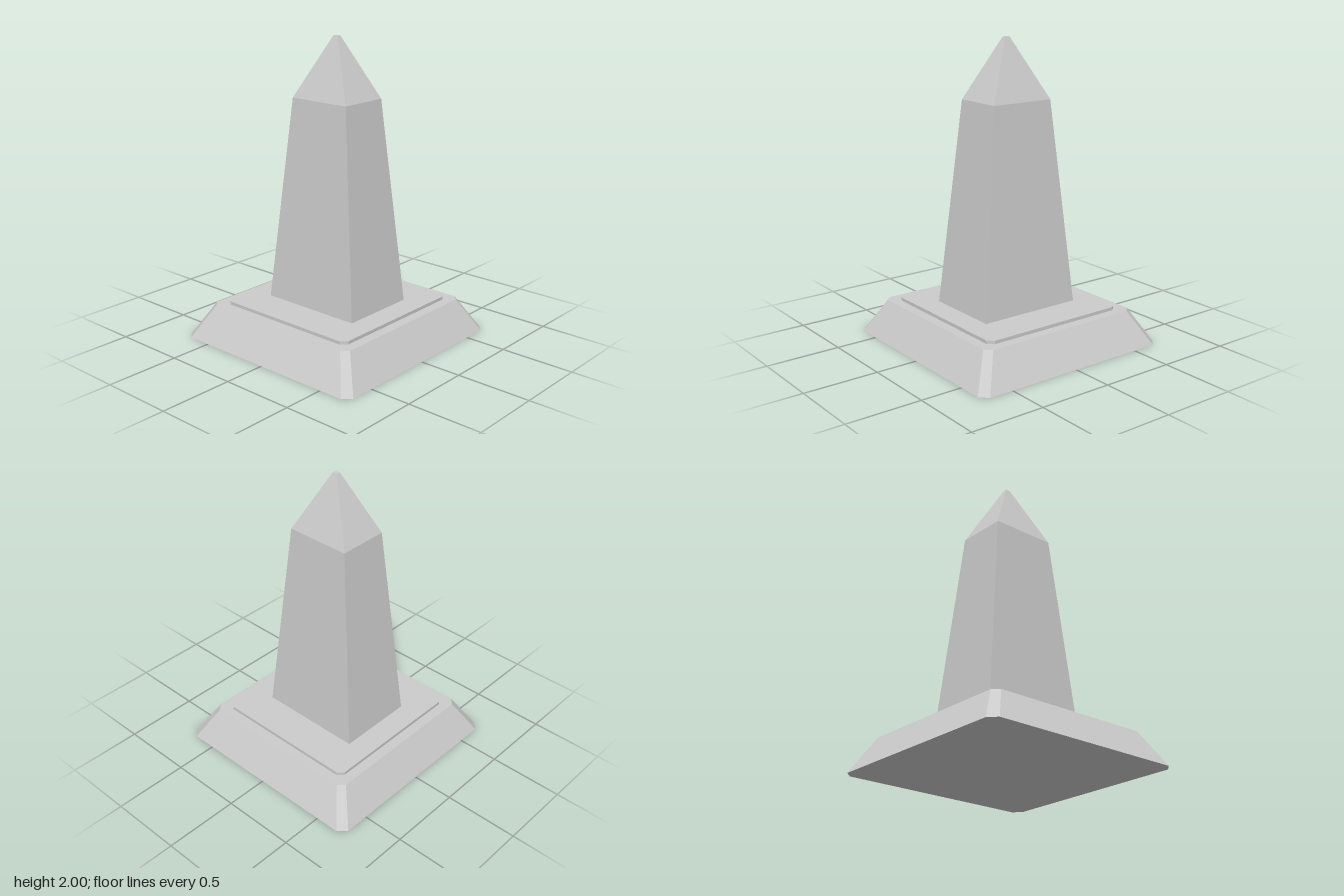
import * as THREE from 'three';

const material = new THREE.MeshStandardMaterial({ color: 0xcccccc, flatShading: true });

// Rectangle with half sizes a (x) and b (z), corners cut by c, counter-clockwise from above
function ring(y, a, b, c = 0) {
  const corners = [[1, 1], [-1, 1], [-1, -1], [1, -1]];
  return corners.flatMap(([sx, sz], i) => {
    if (c === 0) return [[sx * a, y, -sz * b]];
    const pair = [[sx * a, y, -sz * (b - c)], [sx * (a - c), y, -sz * b]];
    return i % 2 ? pair.reverse() : pair;
  });
}

// Closed solid through a stack of rings, from bottom to top
function loft(name, rings) {
  const pos = [];
  const tri = (...pts) => pts.forEach((p) => pos.push(...p));
  const n = rings[0].length;
  for (let r = 0; r < rings.length - 1; r++) {
    const lo = rings[r], hi = rings[r + 1];
    for (let i = 0; i < n; i++) {
      const j = (i + 1) % n;
      tri(lo[i], lo[j], hi[j]);
      tri(lo[i], hi[j], hi[i]);
    }
  }
  const bottom = rings[0], top = rings[rings.length - 1];
  for (let i = 1; i < n - 1; i++) {
    tri(bottom[0], bottom[i + 1], bottom[i]);
    tri(top[0], top[i], top[i + 1]);
  }
  const geometry = new THREE.BufferGeometry();
  geometry.setAttribute('position', new THREE.Float32BufferAttribute(pos, 3));
  geometry.computeVertexNormals();
  const mesh = new THREE.Mesh(geometry, material);
  mesh.name = name;
  return mesh;
}

export function createModel() {
  const group = new THREE.Group();
  group.name = 'obelisk';
  group.add(
    // Sloped plinth with cut corners
    loft('plinth', [ring(0, 0.717, 0.717, 0.052), ring(0.225, 0.587, 0.587, 0.042)]),
    // Thin slab on the plinth
    loft('step', [ring(0.225, 0.52, 0.52, 0.037), ring(0.247, 0.52, 0.52, 0.037)]),
    // Tapered shaft with its pointed cap
    loft('shaft', [
      ring(0.247, 0.36, 0.265),
      ring(1.602, 0.223, 0.171),
      ring(2, 0.017, 0.013),
    ]),
  );
  return group;
}
